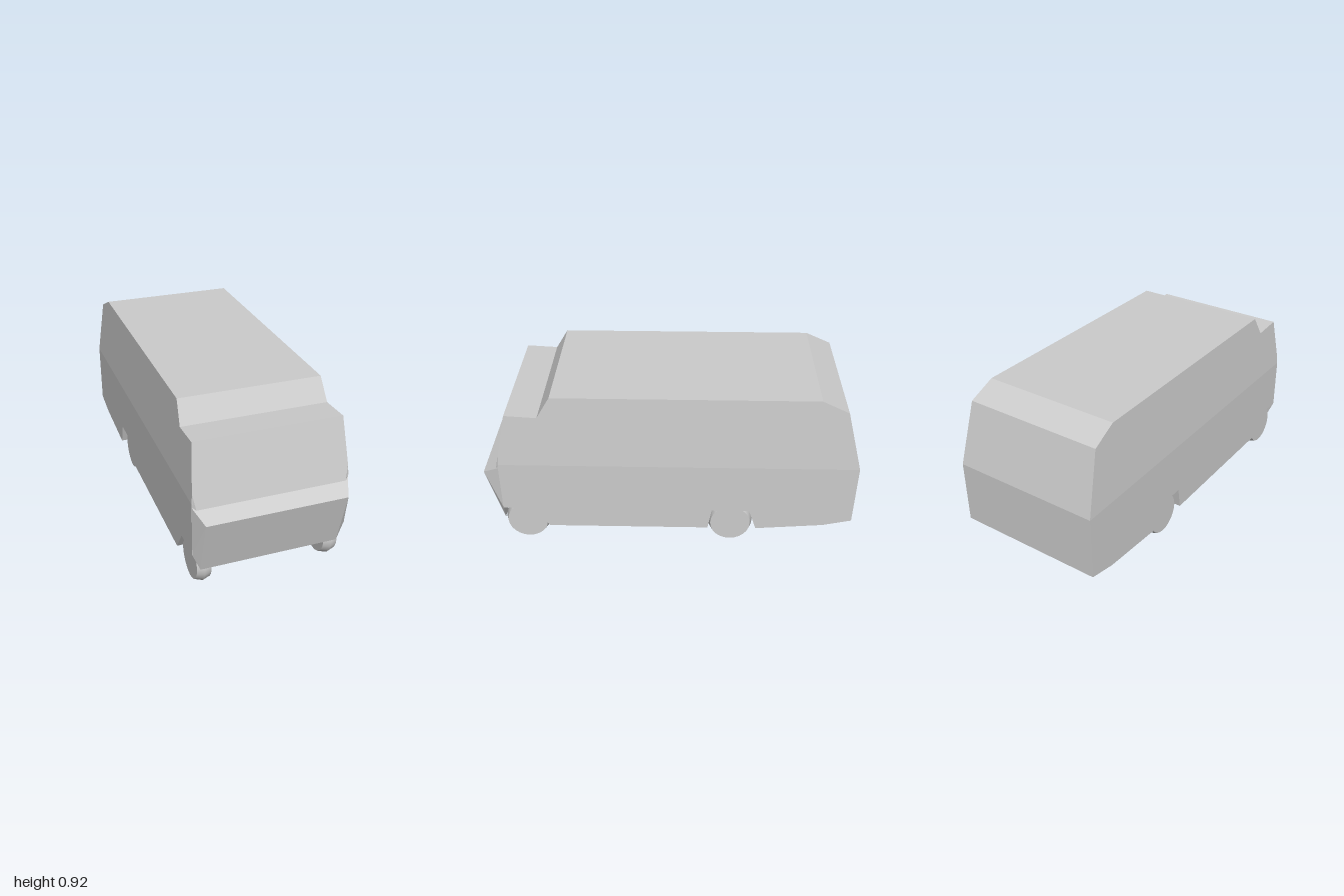
import * as THREE from 'three';
import { ConvexGeometry } from 'three/addons/geometries/ConvexGeometry.js';

const HALF = 0.405, ROOF_HALF = 0.375, BELT = 0.52, ROOF = 0.92;

export function createModel() {
  const group = new THREE.Group();
  const material = new THREE.MeshStandardMaterial({ color: 0xcccccc, flatShading: true });
  const smooth = new THREE.MeshStandardMaterial({ color: 0xcccccc });

  function add(name, geometry, mat = material) {
    const mesh = new THREE.Mesh(geometry, mat);
    mesh.name = name;
    group.add(mesh);
    return mesh;
  }

  // Side profile in (z, y), extruded across the width and narrowed above the belt line
  function profileBody(points) {
    const shape = new THREE.Shape(points.map(([z, y]) => new THREE.Vector2(z, y)));
    const geo = new THREE.ExtrudeGeometry(shape, { depth: 2, bevelEnabled: false });
    geo.translate(0, 0, -1).rotateY(-Math.PI / 2);
    const p = geo.attributes.position;
    for (let i = 0; i < p.count; i++) {
      const t = Math.max(0, (p.getY(i) - BELT) / (ROOF - BELT));
      p.setX(i, p.getX(i) * THREE.MathUtils.lerp(HALF, ROOF_HALF, t));
    }
    geo.computeVertexNormals();
    return geo;
  }

  // Convex solid from points mirrored left to right
  function mirroredHull(points) {
    return new ConvexGeometry(points.flatMap(([x, y, z]) =>
      [new THREE.Vector3(x, y, z), new THREE.Vector3(-x, y, z)]));
  }

  // Lower body with wheel channels
  add('lowerBody', profileBody([
    [0.91, BELT], [-1, BELT], [-0.995, 0.175], [-0.84, 0.14], [-0.475, 0.11],
    [-0.435, 0.23], [-0.23, 0.23], [-0.21, 0.11], [0.665, 0.11], [0.745, 0.23], [0.91, 0.23],
  ]));

  // Cabin with stepped roof
  add('cabin', profileBody([
    [0.91, BELT], [0.905, 0.57], [0.85, 0.815], [0.68, 0.805], [0.61, ROOF],
    [-0.77, ROOF], [-0.91, 0.855], [-1, BELT],
  ]));

  // Foot of the windscreen
  add('windscreenBase', mirroredHull([
    [0.401, 0.57, 0.905], [0.385, 0.485, 0.925], [HALF, 0.46, 0.908], [0.39, 0.5, 0.85],
  ]));

  // Sloping nose panel
  add('nose', mirroredHull([
    [0.365, 0.445, 1], [0.39, 0.485, 0.925], [0.365, 0.135, 0.915],
    [HALF, 0.5, 0.908], [HALF, 0.23, 0.908],
  ]));

  // Wheels with a slightly crowned tread
  const tyre = new THREE.LatheGeometry(
    [[0.11, -0.038], [0.123, 0], [0.11, 0.038]].map(([r, h]) => new THREE.Vector2(r, h)), 24);
  tyre.rotateZ(Math.PI / 2);
  const disc = new THREE.CircleGeometry(0.11, 24).rotateY(Math.PI / 2).translate(0.038, 0, 0);
  for (const [end, z] of [['front', 0.79], ['rear', -0.335]]) {
    for (const [side, s] of [['Left', 1], ['Right', -1]]) {
      const wheel = new THREE.Group();
      wheel.name = `${end}${side}Wheel`;
      const tread = new THREE.Mesh(tyre, smooth);
      tread.name = 'tyre';
      wheel.add(tread);
      for (const turn of [0, Math.PI]) {
        const face = new THREE.Mesh(disc, material);
        face.name = 'wheelFace';
        face.rotation.y = turn;
        wheel.add(face);
      }
      wheel.position.set(s * 0.34, 0.123, z);
      group.add(wheel);
    }
  }
  return group;
}
